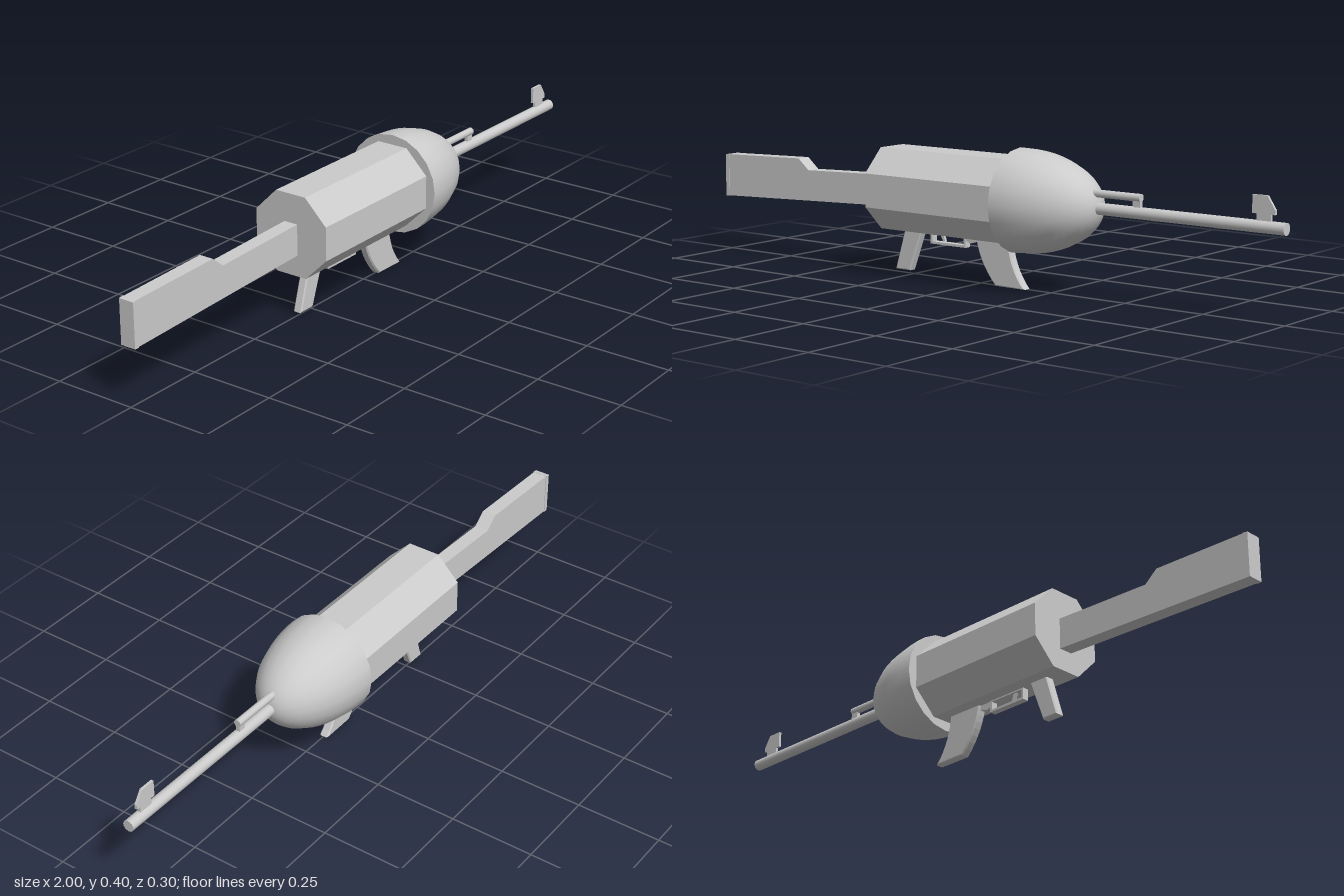
import * as THREE from 'three';

const smooth = new THREE.MeshStandardMaterial({ color: 0xcccccc });
const flat = new THREE.MeshStandardMaterial({ color: 0xcccccc, flatShading: true });
const AXIS_Y = 0.253;

export function createModel() {
  const model = new THREE.Group();
  model.name = 'toyRifle';

  const add = (name, geometry, material = flat) => {
    const mesh = new THREE.Mesh(geometry, material);
    mesh.name = name;
    model.add(mesh);
    return mesh;
  };

  // Side outline in x and y, extruded evenly about z = 0
  const plate = (name, shape, width, bevel = 0) => {
    const depth = width - 2 * bevel;
    const geometry = new THREE.ExtrudeGeometry(shape, {
      depth, curveSegments: 8, bevelEnabled: bevel > 0,
      bevelThickness: bevel, bevelSize: bevel, bevelOffset: -bevel, bevelSegments: 1,
    });
    return add(name, geometry.translate(0, 0, -depth / 2));
  };
  const outline = (points) => new THREE.Shape(points.map(([x, y]) => new THREE.Vector2(x, y)));

  // Cylinder lying along x
  const rod = (name, x0, x1, y, radius, sides, material, turn = 0) => {
    const geometry = new THREE.CylinderGeometry(radius, radius, x1 - x0, sides);
    geometry.rotateY(turn).rotateZ(-Math.PI / 2).translate((x0 + x1) / 2, y, 0);
    return add(name, geometry, material);
  };

  // Eight-sided body with a flat top
  rod('body', -0.335, 0.15, AXIS_Y, 0.13, 8, flat, Math.PI / 8);

  // Rounded nose: half an ellipsoid with a flat back
  const profile = [];
  for (let i = 0; i <= 14; i++) {
    const a = (i / 14) * Math.PI / 2;
    profile.push(new THREE.Vector2(0.15 * Math.cos(a), 0.272 * Math.sin(a)));
  }
  add('nose', new THREE.LatheGeometry(profile, 20)
    .rotateZ(-Math.PI / 2).translate(0.14, AXIS_Y, 0), smooth);
  add('noseBack', new THREE.CircleGeometry(0.15, 20)
    .rotateY(-Math.PI / 2).translate(0.14, AXIS_Y, 0));

  // Shoulder stock and butt plate
  plate('stock', outline([
    [-0.985, 0.171], [-0.3, 0.197], [-0.3, 0.289], [-0.65, 0.277],
    [-0.69, 0.31], [-0.985, 0.301],
  ]), 0.044);
  plate('buttPlate', outline([
    [-1, 0.17], [-0.985, 0.17], [-0.985, 0.302], [-1, 0.3],
  ]), 0.047);

  // Pistol grip
  plate('grip', outline([
    [-0.312, 0.01], [-0.257, 0.01], [-0.205, 0.15], [-0.27, 0.15],
  ]), 0.028, 0.004);

  // Trigger guard loop and trigger
  const guard = outline([[-0.18, 0.098], [-0.05, 0.098], [-0.05, 0.145], [-0.18, 0.145]]);
  guard.holes.push(outline([[-0.173, 0.105], [-0.173, 0.129], [-0.057, 0.129], [-0.057, 0.105]]));
  plate('triggerGuard', guard, 0.02);
  plate('trigger', outline([
    [-0.152, 0.135], [-0.138, 0.108], [-0.13, 0.108], [-0.138, 0.135],
  ]), 0.008);

  // Catch between guard and magazine
  plate('magazineCatch', outline([
    [-0.05, 0.118], [-0.035, 0.112], [0, 0.122], [0, 0.145], [-0.05, 0.145],
  ]), 0.014);

  // Curved magazine
  const magazine = new THREE.Shape();
  magazine.moveTo(-0.012, 0.145);
  magazine.quadraticCurveTo(-0.002, 0.065, 0.06, 0);
  magazine.lineTo(0.166, 0);
  magazine.quadraticCurveTo(0.112, 0.062, 0.108, 0.145);
  plate('magazine', magazine, 0.028, 0.004);

  // Barrel
  rod('barrel', 0.38, 1, AXIS_Y, 0.017, 16, smooth);

  // Upper tube and its bracket on the barrel
  rod('upperTube', 0.34, 0.55, 0.295, 0.011, 12, smooth);
  add('tubeBracket', new THREE.BoxGeometry(0.025, 0.03, 0.012).translate(0.537, 0.279, 0));

  // Front sight blade on a short foot
  plate('frontSight', outline([
    [0.912, 0.262], [0.955, 0.262], [0.955, 0.287], [0.967, 0.287], [0.967, 0.3],
    [0.943, 0.336], [0.898, 0.336], [0.898, 0.287], [0.912, 0.287],
  ]), 0.008);

  return model;
}
